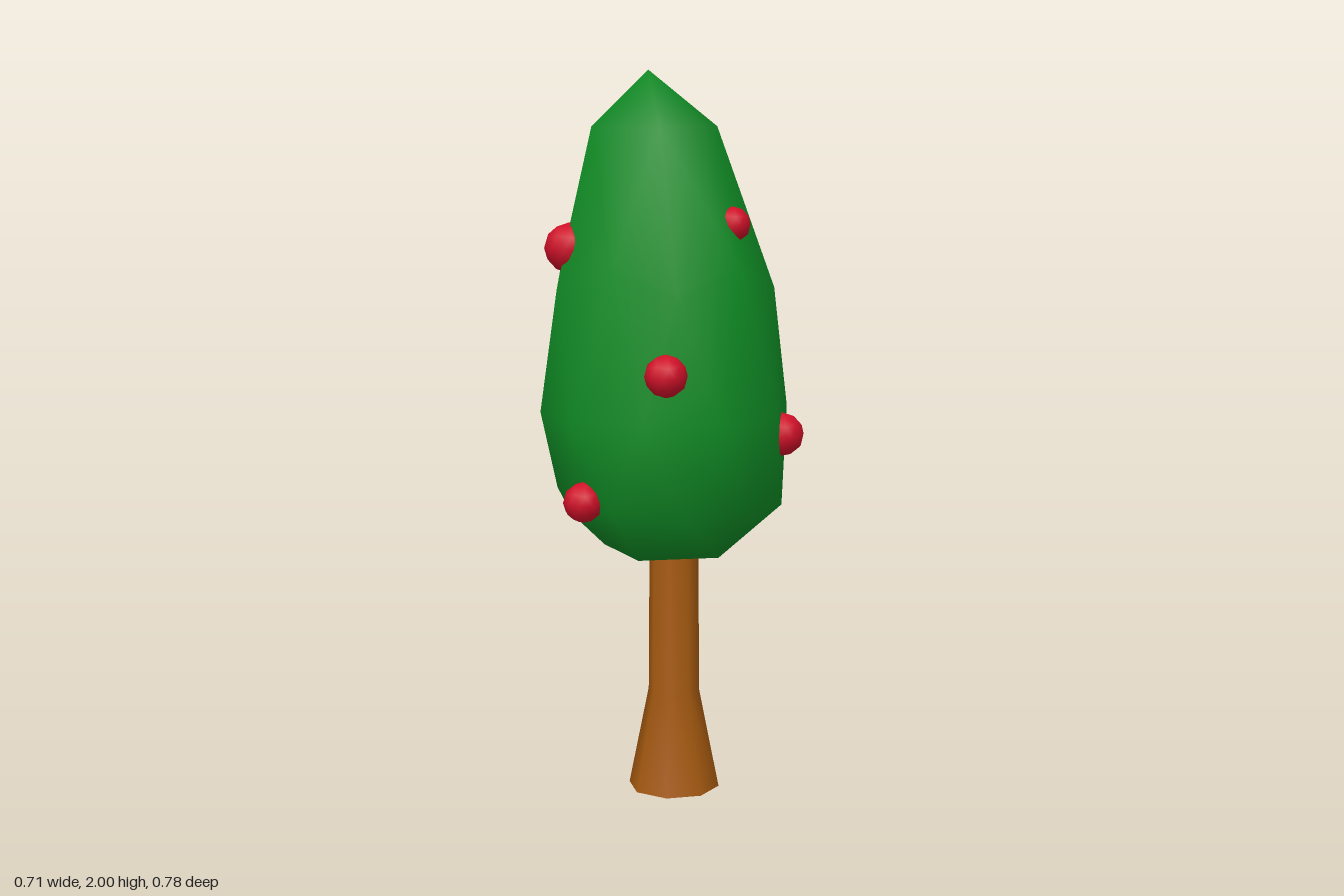
import * as THREE from 'three';
import { mergeVertices } from 'three/addons/utils/BufferGeometryUtils.js';

// Low-poly ball standing on a vertex, with shared vertices for smooth shading
function ball() {
  let g = new THREE.IcosahedronGeometry(1, 1);
  g.deleteAttribute('uv');
  g.deleteAttribute('normal');
  g = mergeVertices(g, 1e-4);
  g.rotateZ(-Math.atan2(2, 1 + Math.sqrt(5)));
  g.computeVertexNormals();
  return g;
}

// Crown rings: level on the unit ball, height, x centre, x radius, z radius
const RINGS = [
  [1, 2.0, -0.075, 0, 0],
  [0.851, 1.85, -0.065, 0.178, 0.193],
  [0.526, 1.49, -0.03, 0.285, 0.32],
  [0.447, 1.42, -0.04, 0.31, 0.325],
  [0, 1.08, -0.03, 0.342, 0.372],
  [-0.447, 0.85, -0.025, 0.31, 0.335],
  [-0.526, 0.82, -0.01, 0.305, 0.335],
  [-0.851, 0.69, -0.015, 0.187, 0.195],
  [-1, 0.675, -0.02, 0, 0],
];

function crownGeometry() {
  const g = ball();
  const p = g.attributes.position;
  for (let i = 0; i < p.count; i++) {
    const level = p.getY(i);
    const ring = RINGS.reduce((a, b) => (Math.abs(b[0] - level) < Math.abs(a[0] - level) ? b : a));
    const angle = Math.atan2(p.getZ(i), p.getX(i));
    p.setXYZ(i, ring[2] + ring[3] * Math.cos(angle), ring[1], -0.0175 + ring[4] * Math.sin(angle));
  }
  g.computeVertexNormals();
  return g;
}

// Fruit: x, y, z, radius
const FRUIT = [
  [0.03, 1.22, 0.333, 0.057],
  [-0.205, 0.865, 0.255, 0.055],
  [-0.267, 1.53, 0.115, 0.068],
  [0.17, 1.595, 0.088, 0.048],
  [0.297, 1.02, 0.002, 0.06],
  [0.15, 1.235, -0.3, 0.046],
  [-0.115, 1.61, -0.255, 0.075],
  [-0.262, 1.06, -0.272, 0.083],
];

export function createModel() {
  const green = new THREE.MeshStandardMaterial({ name: 'leafGreen', color: 0x108c25 });
  const red = new THREE.MeshStandardMaterial({ name: 'fruitRed', color: 0xd01028 });
  const brown = new THREE.MeshStandardMaterial({ name: 'barkBrown', color: 0xa65a10 });

  const tree = new THREE.Group();
  tree.name = 'fruitTree';
  const add = (name, geometry, material, x = 0, y = 0, z = 0) => {
    const mesh = new THREE.Mesh(geometry, material);
    mesh.name = name;
    mesh.position.set(x, y, z);
    tree.add(mesh);
    return mesh;
  };

  // Trunk with a flared foot and a closed base
  const profile = [[0.128, 0], [0.072, 0.28], [0.068, 0.8]].map(([r, y]) => new THREE.Vector2(r, y));
  add('trunk', new THREE.LatheGeometry(profile, 8), brown, -0.005, 0, -0.0175);
  add('trunkBase', new THREE.CircleGeometry(0.128, 8).rotateX(Math.PI / 2), brown, -0.005, 0, -0.0175);

  add('crown', crownGeometry(), green);

  const fruitGeometry = ball();
  FRUIT.forEach(([x, y, z, r], i) => {
    add('fruit' + (i + 1), fruitGeometry, red, x, y, z).scale.setScalar(r);
  });
  return tree;
}
